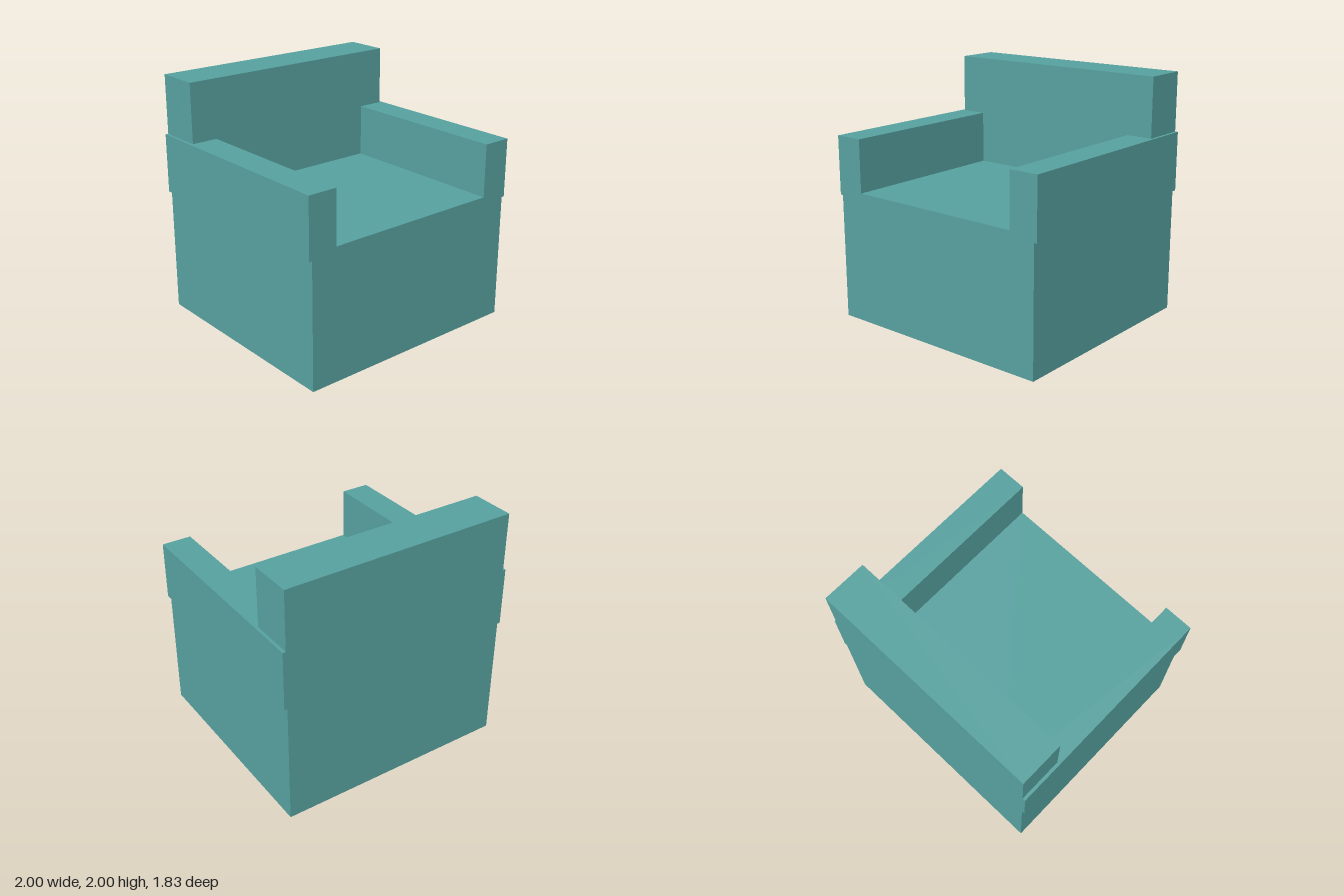
import * as THREE from 'three';

const DEPTH = 1.83;
const BACK_Z = -DEPTH / 2;

// Mirrors a right-hand outline across x = 0 and extrudes it forward from the rear plane.
function symmetricBlock(name, half, depth, material) {
  const left = half.map(([x, y]) => [-x, y]).reverse();
  const shape = new THREE.Shape([...half, ...left].map(([x, y]) => new THREE.Vector2(x, y)));
  const geometry = new THREE.ExtrudeGeometry(shape, { depth, bevelEnabled: false });
  const mesh = new THREE.Mesh(geometry, material);
  mesh.name = name;
  mesh.position.z = BACK_Z;
  return mesh;
}

export function createModel() {
  const chair = new THREE.Group();
  chair.name = 'armchair';
  const upholstery = new THREE.MeshStandardMaterial({ color: 0x56a09e });
  upholstery.name = 'teal upholstery';

  // Base with the seat raised between the arms
  chair.add(symmetricBlock('seatBase',
    [[0.975, 0], [0.975, 1.03], [0.757, 1.03], [0.757, 1.08]], DEPTH, upholstery));

  // Backrest: narrow between the arms, wider above them
  chair.add(symmetricBlock('backrest',
    [[0.757, 1.08], [0.757, 1.515], [0.975, 1.515], [0.975, 2]], 0.365, upholstery));

  // Armrests, slightly overhanging the base
  for (const side of [-1, 1]) {
    const arm = new THREE.Mesh(new THREE.BoxGeometry(0.243, 0.485, DEPTH), upholstery);
    arm.name = side > 0 ? 'leftArmrest' : 'rightArmrest';
    arm.position.set(side * 0.8785, 1.2725, 0);
    chair.add(arm);
  }
  return chair;
}
